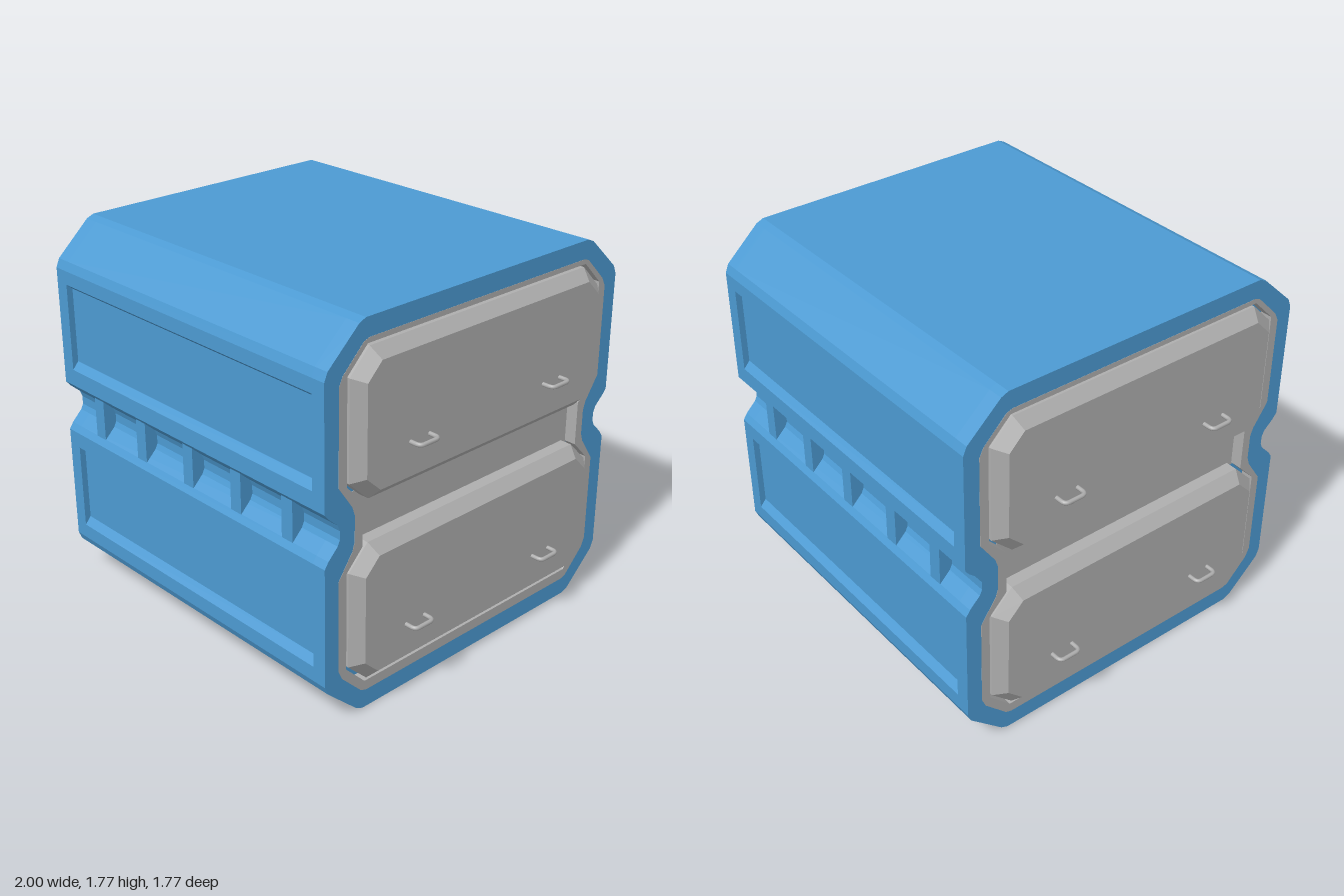
import * as THREE from 'three';

const blue = new THREE.MeshStandardMaterial({ color: 0x4c9ad2 });
blue.name = 'blue shell';
const grey = new THREE.MeshStandardMaterial({ color: 0xaeaeae });
grey.name = 'grey panel';

// Half outline (z, y), bottom to top, mirrored into a closed loop
const mirrored = (half) => [
  ...half.map(([z, y]) => new THREE.Vector2(z, y)),
  ...half.slice().reverse().map(([z, y]) => new THREE.Vector2(-z, y)),
];

// Extrude a z-y outline along x
function extrudeX(name, outline, x0, x1, material, hole, bevel) {
  const shape = new THREE.Shape(outline);
  if (hole) shape.holes.push(new THREE.Path(hole));
  const b = bevel || 0;
  const geo = new THREE.ExtrudeGeometry(shape, {
    depth: x1 - x0 - 2 * b,
    bevelEnabled: b > 0,
    bevelThickness: b, bevelSize: b, bevelOffset: -b, bevelSegments: 1,
  });
  geo.translate(0, 0, x0 + b);
  geo.rotateY(Math.PI / 2);
  const mesh = new THREE.Mesh(geo, material);
  mesh.name = name;
  return mesh;
}

const foot = [[0.67, 0], [0.705, 0.015], [0.868, 0.165], [0.885, 0.205]];
const waist = [[0.885, 0.765], [0.865, 0.795], [0.815, 0.845], [0.803, 0.87],
  [0.803, 0.91], [0.815, 0.94], [0.865, 0.985], [0.885, 1.01]];
const crown = [[0.885, 1.57], [0.868, 1.61], [0.705, 1.76], [0.67, 1.775]];
// Sunken side panel with sloped top and bottom edges
const sunk = (y) => [[0.885, y], [0.855, y + 0.035], [0.855, y + 0.39], [0.885, y + 0.415]];

const plain = mirrored([...foot, ...waist, ...crown]);
const recessed = mirrored([...foot, ...sunk(0.275), ...waist, ...sunk(1.09), ...crown]);
const frameOuter = mirrored([[0.65, 0.085], [0.68, 0.095], [0.79, 0.205], [0.81, 0.25],
  [0.81, 0.68], [0.735, 0.79], [0.722, 0.83], [0.722, 0.95], [0.735, 0.99],
  [0.81, 1.1], [0.81, 1.53], [0.79, 1.57], [0.68, 1.68], [0.65, 1.69]]);
const frameInner = mirrored([[0.66, 0.133], [0.767, 0.24], [0.767, 0.7], [0.68, 0.79],
  [0.68, 1.0], [0.767, 1.09], [0.767, 1.56], [0.66, 1.667]]);

function makeHandle(y, z) {
  const path = new THREE.CurvePath();
  const p = (x, dz) => new THREE.Vector3(x, y, z + dz);
  path.add(new THREE.LineCurve3(p(0.925, -0.055), p(0.965, -0.055)));
  path.add(new THREE.QuadraticBezierCurve3(p(0.965, -0.055), p(0.99, -0.055), p(0.99, -0.03)));
  path.add(new THREE.LineCurve3(p(0.99, -0.03), p(0.99, 0.03)));
  path.add(new THREE.QuadraticBezierCurve3(p(0.99, 0.03), p(0.99, 0.055), p(0.965, 0.055)));
  path.add(new THREE.LineCurve3(p(0.965, 0.055), p(0.925, 0.055)));
  const mesh = new THREE.Mesh(new THREE.TubeGeometry(path, 28, 0.01, 8), grey);
  mesh.name = 'handle';
  return mesh;
}

// One end: rim, frame, floor strip, two raised doors with handles
function makeEnd() {
  const end = new THREE.Group();
  end.add(extrudeX('endWall', plain, 0.815, 0.825, blue));
  end.add(extrudeX('endRim', plain, 0.825, 0.885, blue, frameOuter));
  end.add(extrudeX('endFrame', frameOuter, 0.82, 0.886, grey, frameInner));
  const strip = new THREE.Mesh(new THREE.BoxGeometry(0.008, 0.24, 1.37), grey);
  strip.name = 'middleStrip';
  strip.position.set(0.824, 0.9, 0);
  end.add(strip);
  for (const y of [0.145, 1.0]) {
    const outline = mirrored([[0.65, y], [0.755, y + 0.1], [0.755, y + 0.55], [0.65, y + 0.655]]);
    end.add(extrudeX('door', outline, 0.735, 0.935, grey, null, 0.05));
    for (const z of [-0.41, 0.41]) end.add(makeHandle(y + 0.206, z));
  }
  return end;
}

export function createModel() {
  const model = new THREE.Group();
  model.name = 'storageContainer';
  model.add(extrudeX('shell', recessed, -0.815, 0.815, blue));

  // Ends
  const left = makeEnd();
  left.name = 'leftEnd';
  const right = makeEnd();
  right.name = 'rightEnd';
  right.rotation.y = Math.PI;
  model.add(left, right);

  // Ribs across the waist grooves
  const ribGeo = new THREE.BoxGeometry(0.066, 0.2, 0.095);
  for (const side of [1, -1]) {
    for (const x of [-0.65, -0.335, 0, 0.32, 0.642]) {
      const rib = new THREE.Mesh(ribGeo, blue);
      rib.name = 'rib';
      rib.position.set(x, 0.89, side * 0.8185);
      model.add(rib);
    }
  }
  return model;
}
